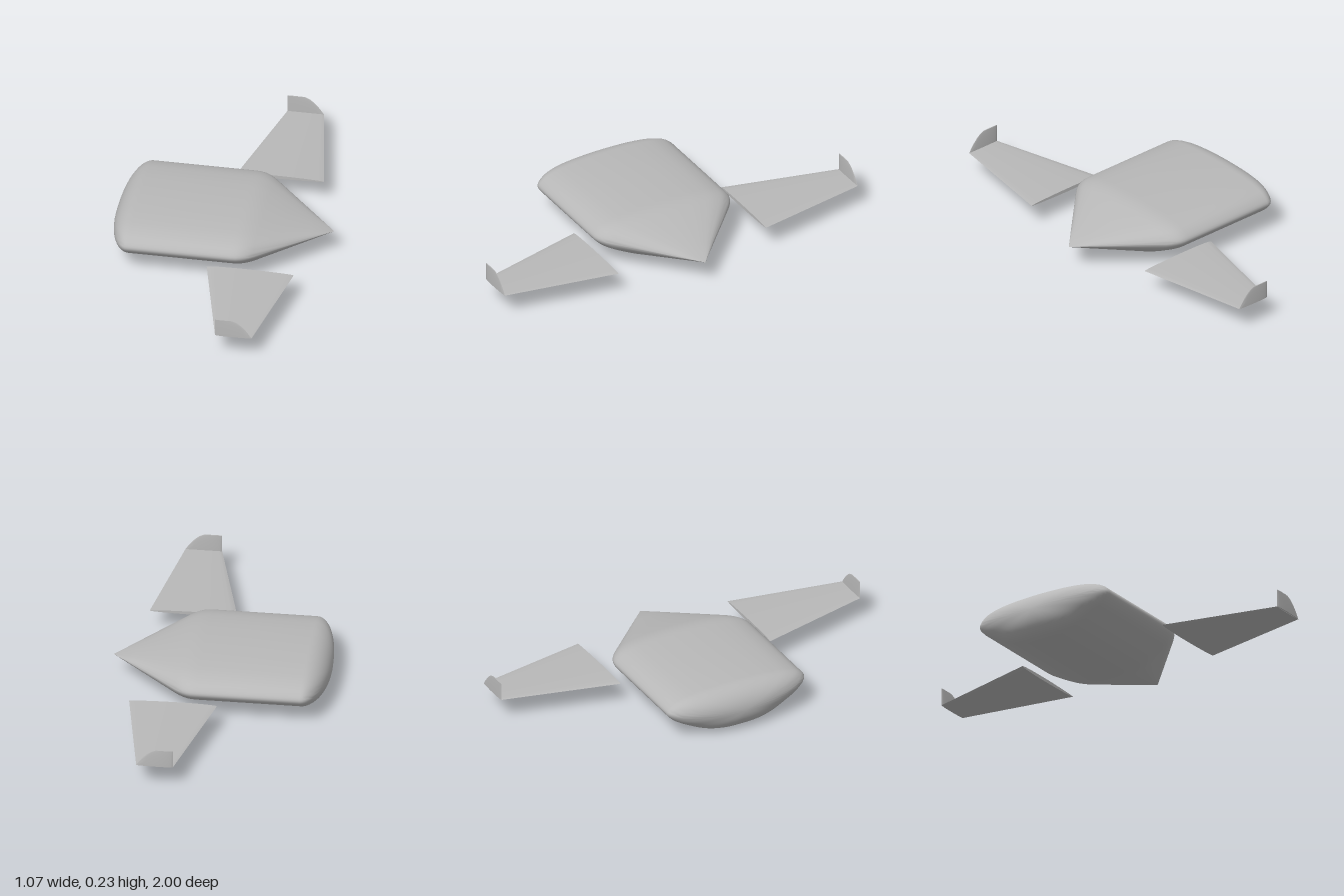
import * as THREE from 'three';
import { toCreasedNormals } from 'three/addons/utils/BufferGeometryUtils.js';

const MID = 0.12; // height of the wing plane and nose tip

// Skin a list of equal-length closed rings, closing both ends with fans
function loft(rings) {
  const n = rings[0].length;
  const index = [];
  for (let i = 0; i < rings.length - 1; i++) {
    for (let j = 0; j < n; j++) {
      const a = i * n + j, b = i * n + (j + 1) % n;
      index.push(a, a + n, b, b, a + n, b + n);
    }
  }
  const last = (rings.length - 1) * n;
  for (let k = 1; k < n - 1; k++) {
    index.push(0, k, k + 1);
    index.push(last, last + k + 1, last + k);
  }
  const geometry = new THREE.BufferGeometry().setFromPoints(rings.flat());
  geometry.setIndex(index);
  return toCreasedNormals(geometry, 0.6);
}

// Thin lens section from rear to front and back, as [chord, thickness] pairs
function foil(rear, front, thick, place) {
  const steps = 12, ring = [];
  for (let i = 0; i < steps * 2; i++) {
    const a = (i / steps) * Math.PI;
    const u = (1 - Math.cos(a)) / 2;
    const t = 0.5 * thick * Math.sin(a) * (1.15 - 0.4 * u);
    ring.push(place(rear + (front - rear) * u, t));
  }
  return ring;
}

// Wide hull: one cross-section scaled along x about the nose axis
function hullGeometry() {
  const half = [[0.1, 0.233], [0.2, 0.227], [0.29, 0.214], [0.35, 0.191], [0.38, 0.155],
    [0.352, 0.114], [0.28, 0.069], [0.19, 0.026], [0.1, 0.005]];
  const outline = [[0, 0.235], ...half.map(([z, y]) => [-z, y]),
    [0, 0.001], ...half.slice().reverse()];
  const curve = new THREE.CatmullRomCurve3(
    outline.map(([z, y]) => new THREE.Vector3(0, y - MID, z)), true);
  const section = curve.getPoints(96).slice(0, 96);

  const stations = [];
  for (let i = 0; i <= 14; i++) { // rounded tail
    const a = (i / 14) * Math.PI / 2;
    stations.push([-0.42 - 0.115 * Math.cos(a), Math.sin(a)]);
  }
  stations.push([-0.15, 1], [0.09, 1], [0.115, 0.995], [0.135, 0.98], [0.155, 0.955],
    [0.175, 0.92], [0.195, 0.876], [0.3, 0.606], [0.42, 0.297], [0.535, 0]);
  return loft(stations.map(([x, s]) =>
    section.map((p) => new THREE.Vector3(x, MID + p.y * s, p.z * s))));
}

// Tapered wing reaching out along +z
function wingGeometry() {
  const ring = (z, rear, front, thick) =>
    foil(rear, front, thick, (x, t) => new THREE.Vector3(x, t, z));
  return loft([ring(0.415, -0.02, 0.41, 0.018), ring(0.994, 0.125, 0.305, 0.007)]);
}

// Upright tip fin with a curved leading edge
function wingletGeometry() {
  const levels = [[0, 0.305, 0.011], [0.02, 0.292, 0.011], [0.045, 0.273, 0.009],
    [0.065, 0.254, 0.008], [0.08, 0.236, 0.006], [0.09, 0.213, 0.005]];
  return loft(levels.map(([y, front, thick]) =>
    foil(0.125, front, thick, (x, t) => new THREE.Vector3(x, y, -t))));
}

export function createModel() {
  const model = new THREE.Group();
  model.name = 'blendedBodyAircraft';
  const grey = new THREE.MeshStandardMaterial({ color: 0xb8b8b8 });
  grey.name = 'grey';

  const add = (name, geometry) => {
    const mesh = new THREE.Mesh(geometry, grey);
    mesh.name = name;
    model.add(mesh);
    return mesh;
  };

  add('hull', hullGeometry());

  const wing = wingGeometry();
  const winglet = wingletGeometry();
  for (const side of [1, -1]) {
    const label = side > 0 ? 'front' : 'back';
    const w = add(label + 'Wing', wing);
    w.position.y = MID;
    if (side < 0) w.rotation.x = Math.PI; // section is symmetric, so a half turn mirrors it
    add(label + 'Winglet', winglet).position.set(0, MID, side * 0.994);
  }
  return model;
}
